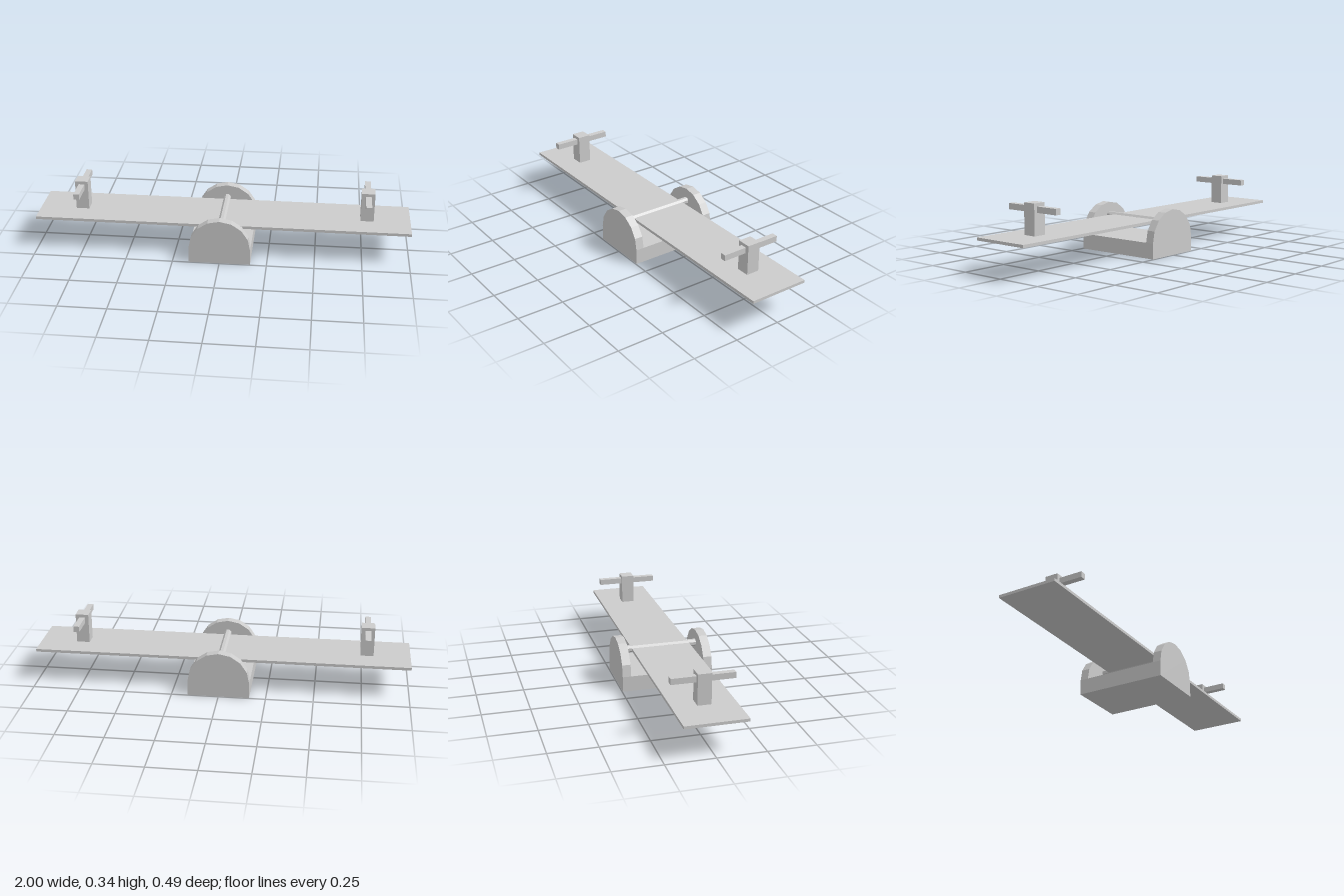
import * as THREE from 'three';

const material = new THREE.MeshStandardMaterial({ color: 0xcccccc, flatShading: true });

function add(parent, name, geometry, x = 0, y = 0, z = 0) {
  const mesh = new THREE.Mesh(geometry, material);
  mesh.name = name;
  mesh.position.set(x, y, z);
  parent.add(mesh);
  return mesh;
}

// Upright plate with a faceted half-round top
function archGeometry(radius, springY, depth, segments) {
  const shape = new THREE.Shape();
  shape.moveTo(-radius, 0);
  shape.lineTo(radius, 0);
  for (let i = 0; i <= segments; i++) {
    const a = (i / segments) * Math.PI;
    shape.lineTo(radius * Math.cos(a), springY + radius * Math.sin(a));
  }
  return new THREE.ExtrudeGeometry(shape, { depth, bevelEnabled: false });
}

export function createModel() {
  const model = new THREE.Group();
  model.name = 'seesaw';

  // Base: low block between two arched side walls
  const radius = 0.163, baseHeight = 0.083, innerZ = 0.2, wall = 0.046;
  const base = new THREE.Group();
  base.name = 'base';
  model.add(base);
  add(base, 'baseBlock', new THREE.BoxGeometry(radius * 2, baseHeight, innerZ * 2), 0, baseHeight / 2, 0);
  const arch = archGeometry(radius, baseHeight, wall, 8);
  add(base, 'frontWall', arch, 0, 0, innerZ);
  add(base, 'backWall', arch, 0, 0, -innerZ - wall);

  // Octagonal axle with a flat side facing up
  const pivotY = 0.1745;
  const axle = new THREE.CylinderGeometry(0.0197, 0.0197, innerZ * 2, 8);
  axle.rotateY(Math.PI / 8).rotateX(Math.PI / 2);
  add(model, 'axle', axle, 0, pivotY, 0);

  // Plank
  const plankThickness = 0.015;
  const plankTop = pivotY + plankThickness / 2;
  add(model, 'plank', new THREE.BoxGeometry(2, plankThickness, 0.32), 0, pivotY, 0);

  // Handle at each end: post with a crossbar
  const postTop = 0.342, postHeight = postTop - plankTop;
  for (const side of [-1, 1]) {
    const handle = new THREE.Group();
    handle.name = side > 0 ? 'leftHandle' : 'rightHandle';
    handle.position.x = side * 0.77;
    model.add(handle);
    add(handle, 'post', new THREE.BoxGeometry(0.07, postHeight, 0.07), 0, plankTop + postHeight / 2, 0);
    add(handle, 'crossbar', new THREE.BoxGeometry(0.031, 0.031, 0.324), 0, 0.31, 0);
  }
  return model;
}
